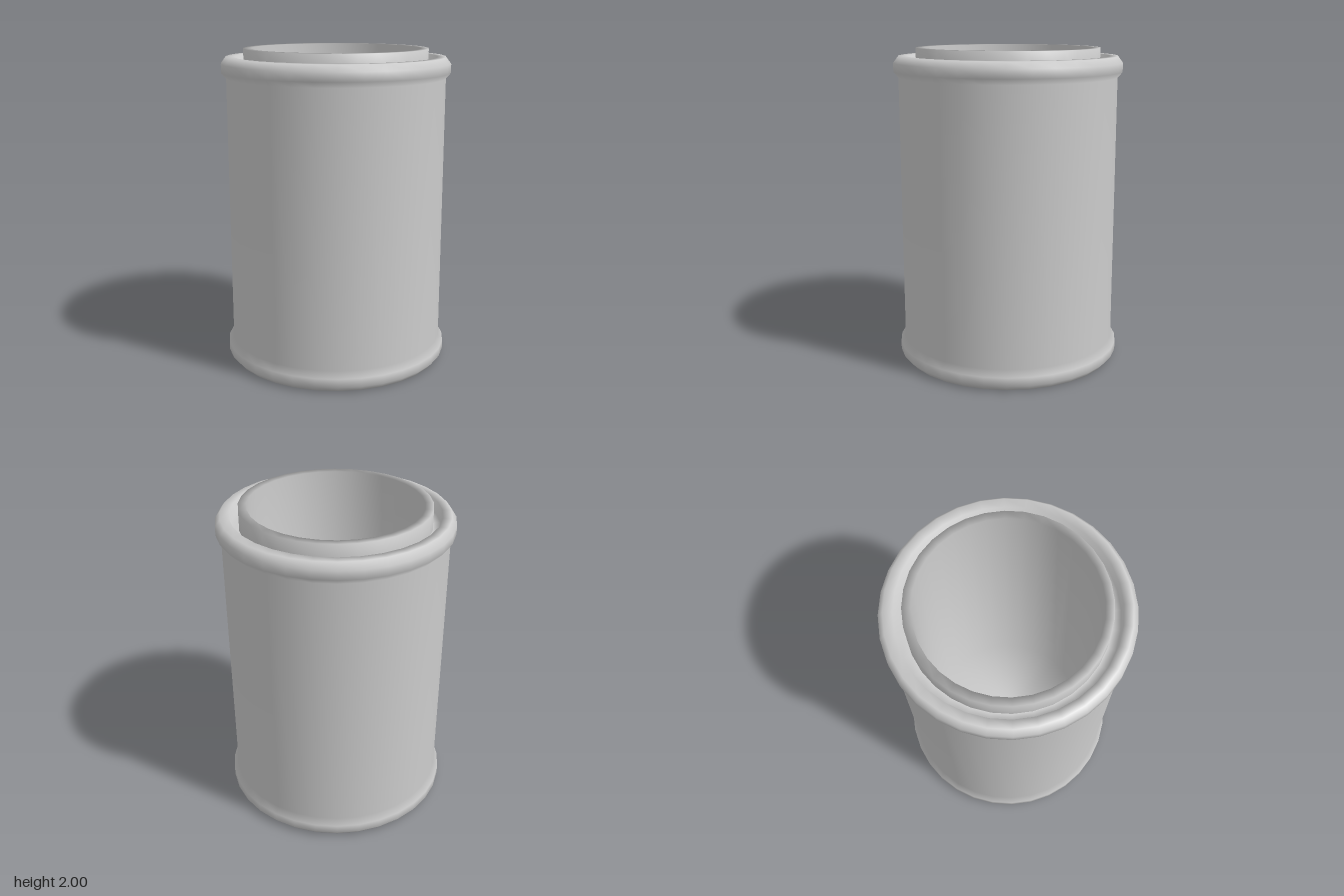
import * as THREE from 'three';

const SIDES = 32;

// Spin a [radius, height] profile around the vertical axis.
function turned(name, profile, material) {
  const points = profile.map(([r, y]) => new THREE.Vector2(r, y));
  const mesh = new THREE.Mesh(new THREE.LatheGeometry(points, SIDES), material);
  mesh.name = name;
  return mesh;
}

// Bevelled bead that bulges out of the wall, starting at height y.
const bead = (y) => [[0.69, y], [0.72, y + 0.035], [0.72, y + 0.09], [0.69, y + 0.13]];

export function createModel() {
  const group = new THREE.Group();
  group.name = 'openCan';
  const metal = new THREE.MeshStandardMaterial({ color: 0xcccccc, side: THREE.DoubleSide });

  // Flat base, bottom bead, straight wall, top bead and the groove inside it
  group.add(turned('body', [
    [0, 0], ...bead(0), ...bead(1.82), [0.635, 1.95], [0.63, 1.87], [0.58, 1.87],
  ], metal));

  // Raised collar around the mouth, with the hollow interior below it
  group.add(turned('collarAndInterior', [
    [0.58, 1.87], [0.58, 2], [0.53, 2], [0.53, 0.05], [0, 0.05],
  ], metal));

  return group;
}
